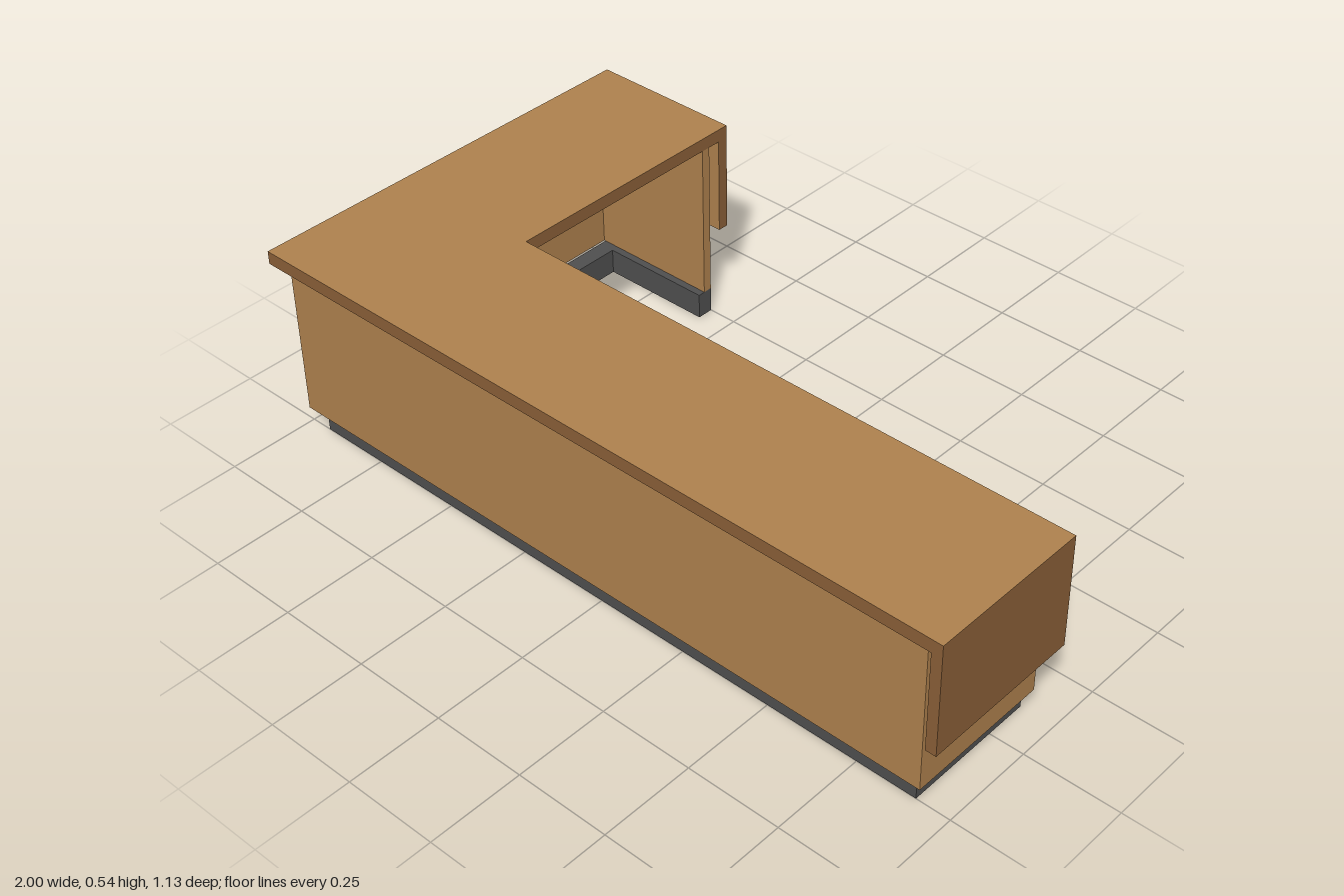
import * as THREE from 'three';

const mat = (color) => new THREE.MeshStandardMaterial({ color });
const wood = mat(0xb0824e);
const darkWood = mat(0x8b6038);
const plinthGrey = mat(0x505050);

// Box given by its minimum and maximum on each axis
function box(name, [x0, x1], [y0, y1], [z0, z1], material) {
  const mesh = new THREE.Mesh(new THREE.BoxGeometry(x1 - x0, y1 - y0, z1 - z0), material);
  mesh.position.set((x0 + x1) / 2, (y0 + y1) / 2, (z0 + z1) / 2);
  mesh.name = name;
  return mesh;
}

export function createModel() {
  const model = new THREE.Group();
  model.name = 'cornerCounter';

  // L-shaped countertop with darker edges; shape y is -z
  const outline = [[-1, -0.565], [1, -0.565], [1, -0.135], [-0.58, -0.135], [-0.58, 0.535], [-1, 0.535]];
  const shape = new THREE.Shape(outline.map(([x, y]) => new THREE.Vector2(x, y)));
  const topGeo = new THREE.ExtrudeGeometry(shape, { depth: 0.035, bevelEnabled: false });
  topGeo.rotateX(-Math.PI / 2);
  const top = new THREE.Mesh(topGeo, [wood, darkWood]);
  top.position.y = 0.5;
  top.name = 'countertop';
  model.add(top);

  // Panels that hang down from the two ends of the countertop
  const edged = [darkWood, darkWood, wood, darkWood, wood, wood];
  model.add(
    box('sideHangingPanel', [0.972, 1], [0.235, 0.5], [0.135, 0.565], darkWood),
    box('backHangingPanel', [-1, -0.58], [0.235, 0.535], [-0.565, -0.535], edged),
  );

  // Thin upright walls, open towards the inside of the L
  const wallY = [0.07, 0.5];
  model.add(
    box('frontWall', [-0.97, 0.94], wallY, [0.505, 0.53], wood),
    box('rightWall', [-0.97, -0.945], wallY, [-0.5, 0.505], wood),
    box('leftEndWall', [0.915, 0.94], wallY, [0.14, 0.505], wood),
    box('backEndWall', [-0.945, -0.58], wallY, [-0.5, -0.475], wood),
  );

  // Recessed plinth under the walls
  const plinthY = [0, 0.07];
  model.add(
    box('frontPlinth', [-0.94, 0.91], plinthY, [0.455, 0.5], plinthGrey),
    box('rightPlinth', [-0.94, -0.895], plinthY, [-0.455, 0.455], plinthGrey),
    box('leftEndPlinth', [0.865, 0.91], plinthY, [0.14, 0.455], plinthGrey),
    box('backEndPlinth', [-0.94, -0.58], plinthY, [-0.5, -0.455], plinthGrey),
  );

  // Thin dark plate under the short arm
  model.add(box('undersidePlate', [-0.945, -0.585], [0.498, 0.501], [-0.475, -0.25], plinthGrey));

  return model;
}
